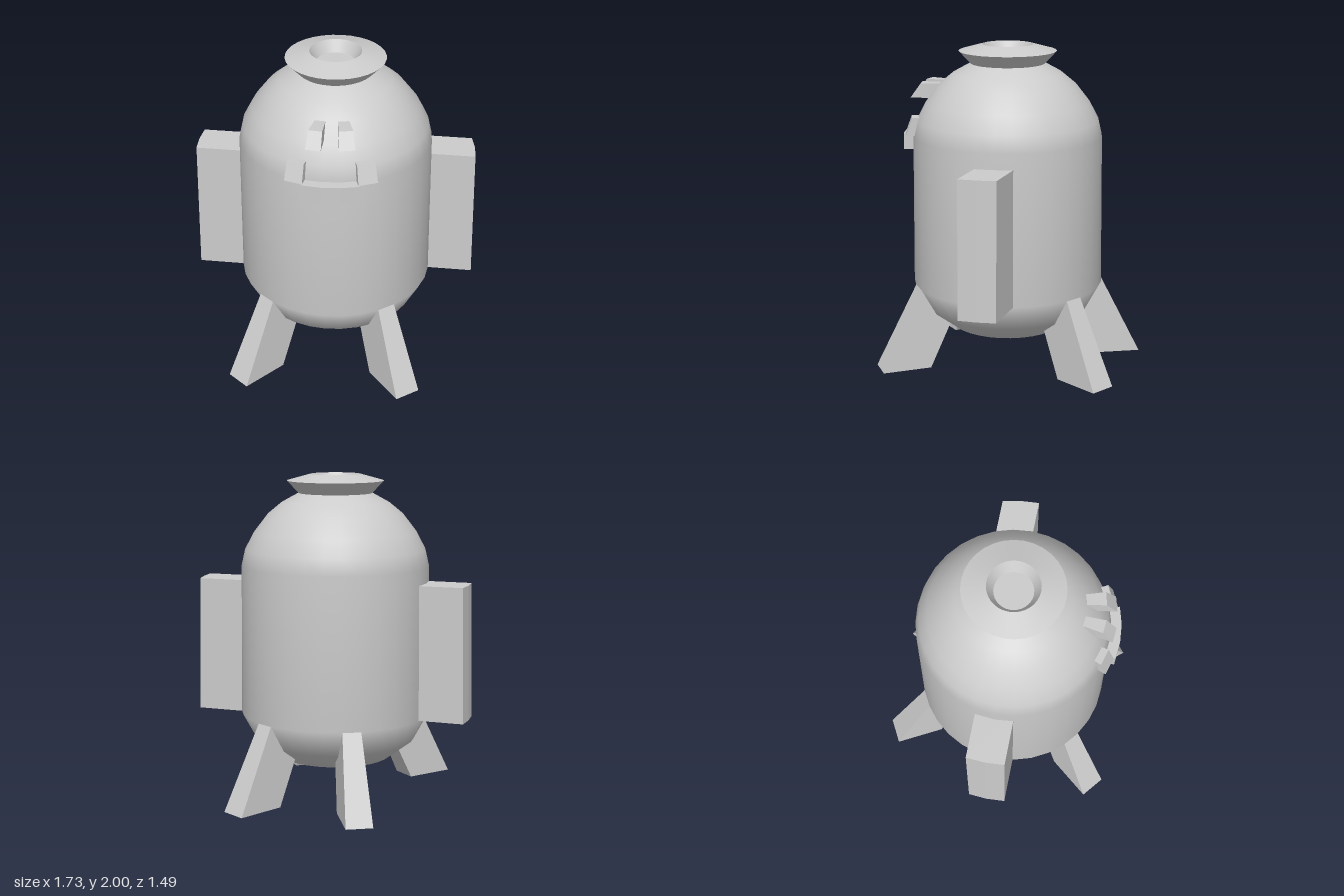
import * as THREE from 'three';

const CZ = 0.03; // z of the body axis
const smooth = new THREE.MeshStandardMaterial({ color: 0xcccccc });
const flat = new THREE.MeshStandardMaterial({ color: 0xcccccc, flatShading: true });

// Point at angle a (from +z toward +x), radius r, sideways shift s
const polar = (a, r, s = 0) => [
  r * Math.sin(a) + s * Math.cos(a),
  CZ + r * Math.cos(a) - s * Math.sin(a),
];

// Solid between two convex [x, z] outlines with equal point counts
function loft(bottom, top, y0, y1) {
  const area = bottom.reduce((sum, p, i) => {
    const q = bottom[(i + 1) % bottom.length];
    return sum + p[0] * q[1] - q[0] * p[1];
  }, 0);
  if (area > 0) {
    bottom = [...bottom].reverse();
    top = [...top].reverse();
  }
  const n = bottom.length;
  const b = bottom.map(([x, z]) => [x, y0, z]);
  const t = top.map(([x, z]) => [x, y1, z]);
  const pos = [];
  const tri = (...pts) => pts.forEach((p) => pos.push(...p));
  for (let i = 0; i < n; i++) {
    const j = (i + 1) % n;
    tri(b[i], b[j], t[j]);
    tri(b[i], t[j], t[i]);
    if (i > 0 && i < n - 1) {
      tri(t[0], t[i], t[i + 1]);
      tri(b[0], b[i + 1], b[i]);
    }
  }
  const g = new THREE.BufferGeometry();
  g.setAttribute('position', new THREE.Float32BufferAttribute(pos, 3));
  g.computeVertexNormals();
  return g;
}

// Outline of a ring sector with a straight inner edge
function sector(a0, a1, rIn, rOut, steps) {
  const pts = [polar(a1, rIn), polar(a0, rIn)];
  for (let i = 0; i <= steps; i++) pts.push(polar(a0 + ((a1 - a0) * i) / steps, rOut));
  return pts;
}

export function createModel() {
  const model = new THREE.Group();
  const add = (name, geometry, material = flat) => {
    const mesh = new THREE.Mesh(geometry, material);
    mesh.name = name;
    model.add(mesh);
    return mesh;
  };
  const lathe = (name, profile) => {
    const pts = profile.map(([r, y]) => new THREE.Vector2(r, y));
    add(name, new THREE.LatheGeometry(pts, 32), smooth).position.z = CZ;
  };

  // Capsule body with a flat underside
  lathe('body', [
    [0.355, 0.23], [0.5, 0.34], [0.592, 0.51], [0.583, 1.44], [0.56, 1.54],
    [0.505, 1.645], [0.42, 1.755], [0.335, 1.825], [0.228, 1.884],
  ]);
  lathe('bodyBase', [[0, 0.23], [0.355, 0.23]]);

  // Flared cap with a shallow recess, one strip per hard edge
  const cap = [[0.228, 1.884], [0.3, 1.96], [0.155, 2], [0.115, 1.93], [0, 1.93]];
  for (let i = 0; i < cap.length - 1; i++) lathe('cap', [cap[i], cap[i + 1]]);

  // Side panels, straight sided with a curved outer face
  const panel = (side, z0, z1) => {
    const outline = (r) => {
      const pts = [[side * 0.5, z1], [side * 0.5, z0]];
      for (let i = 0; i <= 2; i++) {
        const z = z0 + ((z1 - z0) * i) / 2;
        pts.push([side * Math.sqrt(r * r - (z - CZ) ** 2), z]);
      }
      return pts;
    };
    return loft(outline(0.866), outline(0.85), 0.51, 1.345);
  };
  add('leftPanel', panel(1, -0.195, 0.03));
  add('rightPanel', panel(-1, -0.09, 0.14));

  // Four splayed legs, narrowing toward the top
  const legOutline = (a, rIn, rOut, half) => [
    polar(a, rIn, -half), polar(a, rOut, -half), polar(a, rOut, half), polar(a, rIn, half),
  ];
  for (const [name, angle] of [['frontLeg', 0.68], ['backLeg', Math.PI - 0.49]]) {
    for (const side of [1, -1]) {
      const a = side * angle;
      add(name, loft(legOutline(a, 0.54, 0.845, 0.082), legOutline(a, 0.29, 0.588, 0.057), 0, 0.51));
    }
  }

  // Face: slanted eyes, curved mouth bar and raised mouth corners
  const block = (name, a0, a1, rBottom, rTop, rIn, y0, y1, steps = 1) =>
    add(name, loft(sector(a0, a1, rIn, rBottom, steps), sector(a0, a1, rIn - (rBottom - rTop), rTop, steps), y0, y1));
  block('rightEye', -0.16, -0.01, 0.605, 0.54, 0.47, 1.665, 1.755);
  block('leftEye', 0.16, 0.315, 0.6, 0.535, 0.465, 1.665, 1.755);
  block('mouth', -0.18, 0.343, 0.643, 0.643, 0.5, 1.345, 1.45, 3);
  block('rightMouthCorner', -0.357, -0.18, 0.632, 0.592, 0.52, 1.45, 1.56);
  block('leftMouthCorner', 0.335, 0.52, 0.632, 0.592, 0.52, 1.45, 1.56);

  return model;
}
